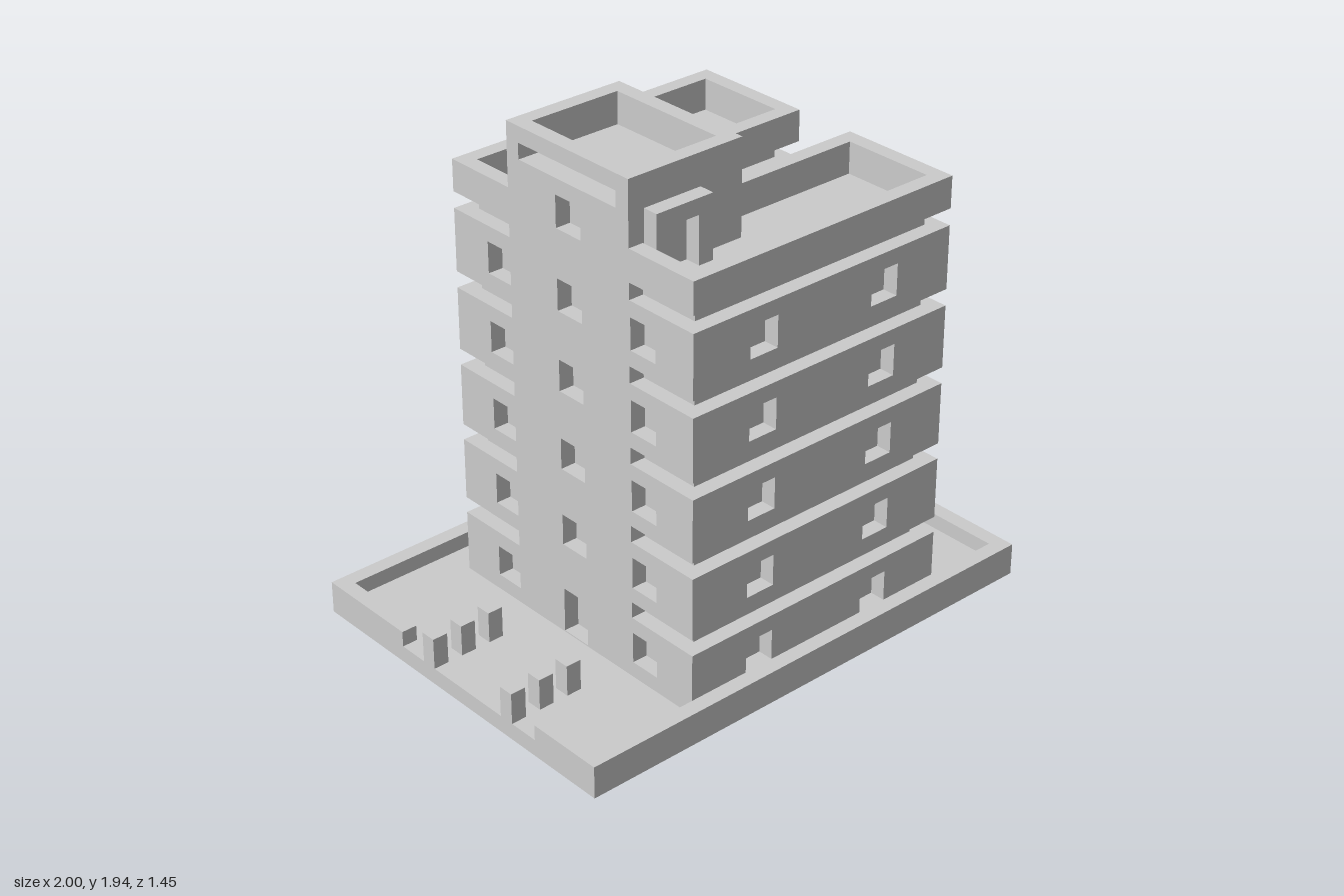
import * as THREE from 'three';

const material = new THREE.MeshStandardMaterial({ color: 0xcccccc, flatShading: true });
const T = 0.06;          // wall thickness
const GROUND = 0.065;    // courtyard level
const STOREY = 0.303;
const BAND = 0.24;       // height of each projecting wall band
const ROOF = 1.58;
const FLOORS = 5;

function box(name, x0, x1, y0, y1, z0, z1) {
  const mesh = new THREE.Mesh(new THREE.BoxGeometry(x1 - x0, y1 - y0, z1 - z0), material);
  mesh.position.set((x0 + x1) / 2, (y0 + y1) / 2, (z0 + z1) / 2);
  mesh.name = name;
  return mesh;
}

function outline(target, [u0, u1, y0, y1]) {
  target.moveTo(u0, y0);
  target.lineTo(u1, y0);
  target.lineTo(u1, y1);
  target.lineTo(u0, y1);
  target.closePath();
  return target;
}

// Wall of thickness T with rectangular openings, each [u0, u1, y0, y1].
// Axis 'z': spans x and starts at z = at. Axis 'x': spans z and starts at x = at.
function wall(name, axis, at, rect, openings = []) {
  const shape = outline(new THREE.Shape(), rect);
  for (const o of openings) shape.holes.push(outline(new THREE.Path(), o));
  const mesh = new THREE.Mesh(new THREE.ExtrudeGeometry(shape, { depth: T, bevelEnabled: false }), material);
  if (axis === 'x') {
    mesh.rotation.y = -Math.PI / 2;
    mesh.position.x = at + T;
  } else {
    mesh.position.z = at;
  }
  mesh.name = name;
  return mesh;
}

// Four walls around a rectangle, with optional openings per side
function ring(name, x0, x1, y0, y1, z0, z1, open = {}) {
  const group = new THREE.Group();
  group.name = name;
  group.add(
    wall(name + 'Front', 'z', z1 - T, [x0, x1, y0, y1], open.front),
    wall(name + 'Back', 'z', z0, [x0, x1, y0, y1], open.back),
    wall(name + 'Left', 'x', x1 - T, [z0 + T, z1 - T, y0, y1], open.ends),
    wall(name + 'Right', 'x', x0, [z0 + T, z1 - T, y0, y1], open.ends)
  );
  return group;
}

// Apartment wing: a slim body with projecting window bands and a roof parapet
function wing(name, z0, z1, endWindow, isFront) {
  const group = new THREE.Group();
  group.name = name;
  const x0 = -0.52, x1 = 0.635;
  group.add(box('wingBody', x0 + T, x1 - T, GROUND, ROOF, z0 + T, z1 - T));
  for (let i = 0; i < FLOORS; i++) {
    const y = GROUND + i * STOREY;
    const sill = y + 0.06, head = y + 0.18;
    const windows = [[-0.275, -0.155, sill, head], [0.27, 0.39, sill, head]];
    group.add(ring('windowBand', x0, x1, y, y + BAND, z0, z1, {
      front: isFront ? windows : [],
      back: !isFront && i >= 2 ? windows : [],
      ends: [[...endWindow, sill, head]]
    }));
  }
  group.add(ring('roofParapet', x0, x1, ROOF, 1.7, z0, z1));
  return group;
}

// Stair core rising above the wings into a roof house
function core() {
  const group = new THREE.Group();
  group.name = 'stairCore';
  const x0 = -0.52, x1 = -0.035, z0 = -0.245, z1 = 0.36, deck = 1.82, top = 1.94;
  group.add(box('coreBody', x0 + T, x1 - T, GROUND, deck, z0, z1));
  const windows = [];
  for (let i = 0; i <= FLOORS; i++) {
    const y = GROUND + i * STOREY;
    windows.push([0, 0.125, y + (i ? 0.06 : 0.005), y + 0.18]);
  }
  const slot = [z0 + T, z1 - T, deck, deck + 0.06];
  group.add(
    wall('coreOuterWall', 'x', x0, [z0, z1, GROUND, top], [...windows, slot]),
    wall('coreInnerWall', 'x', x1 - T, [z0, z1, GROUND, top], windows),
    wall('deckParapetFront', 'z', z1 - T, [x0 + T, x1 - T, deck, top]),
    wall('deckParapetBack', 'z', z0, [x0 + T, x1 - T, deck, top])
  );
  // Roof door frame at the front, two short posts at the back
  for (const [a, b] of [[-0.455, -0.395], [-0.275, -0.215]]) {
    group.add(box('doorJamb', a, b, ROOF, 1.76, z1, z1 + T));
    group.add(box('roofPost', a, b, ROOF, 1.7, z0 - T, z0));
  }
  group.add(box('doorLintel', -0.455, -0.215, 1.76, 1.82, z1, z1 + T));
  return group;
}

// Plinth with a low rim, open at the entrance side, and entrance bollards
function site() {
  const group = new THREE.Group();
  group.name = 'site';
  const d = 0.725, top = 0.125;
  group.add(
    box('plinth', -1, 1, 0, GROUND, -d, d),
    box('rimFront', -1, 1, GROUND, top, d - T, d),
    box('rimBack', -1, 1, GROUND, top, -d, -d + T),
    box('rimLeft', 1 - T, 1, GROUND, top, -d + T, d - T),
    box('rimEntranceBack', -1, -1 + T, GROUND, top, -d + T, -0.305),
    box('rimEntranceFront', -1, -1 + T, GROUND, top, 0.42, d - T)
  );
  for (const z of [-0.185, 0.24]) {
    for (const x of [-1, -0.88, -0.76]) {
      group.add(box('bollard', x, x + T, GROUND, 0.185, z, z + T));
    }
  }
  return group;
}

export function createModel() {
  const model = new THREE.Group();
  model.name = 'apartmentBlock';
  model.add(
    site(),
    wing('frontWing', 0.185, 0.665, [0.365, 0.487], true),
    wing('backWing', -0.545, -0.063, [-0.365, -0.245], false),
    core()
  );
  return model;
}
